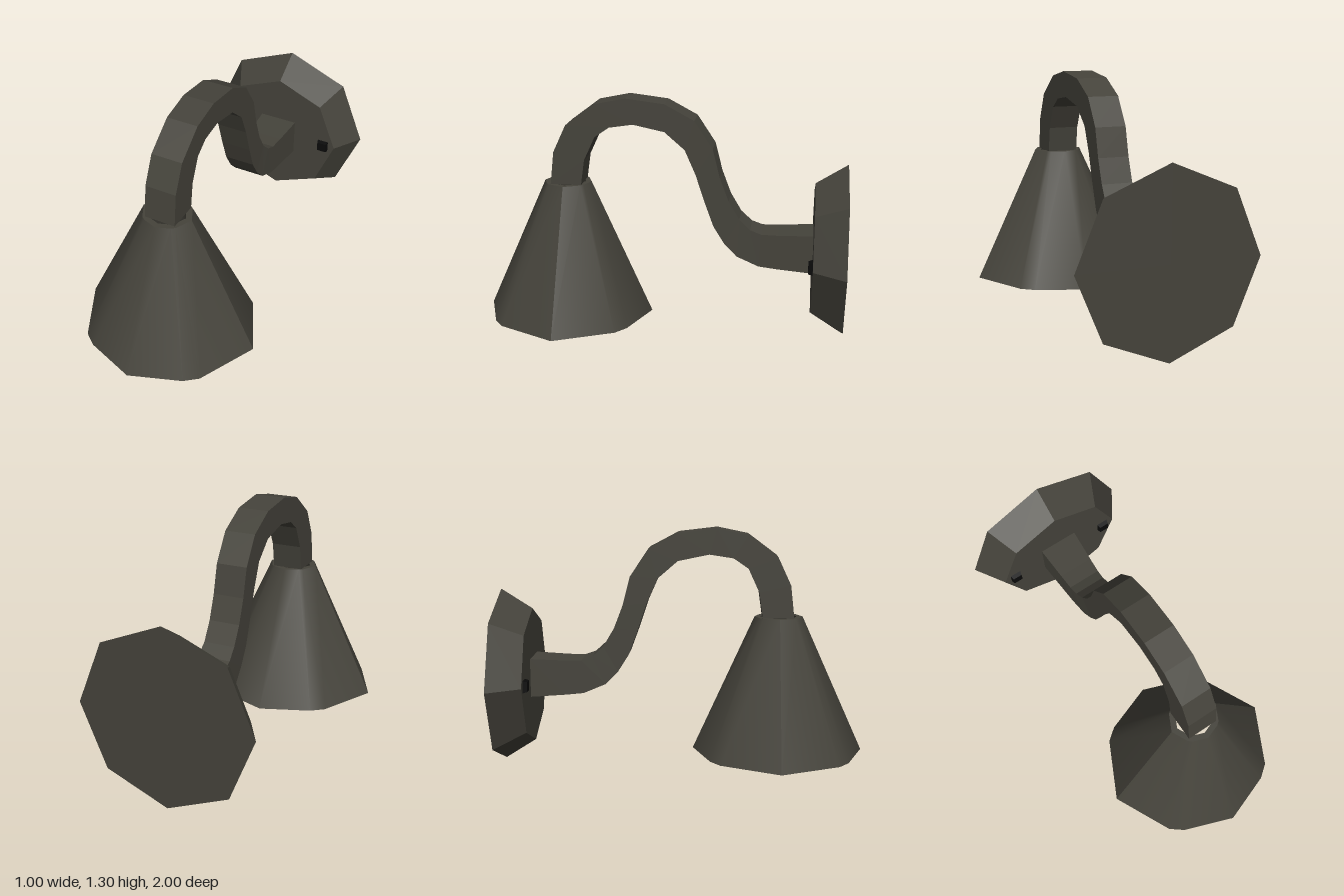
import * as THREE from 'three';
import { toCreasedNormals } from 'three/addons/utils/BufferGeometryUtils.js';

const iron = new THREE.MeshStandardMaterial({ color: 0x45433b, flatShading: true });
const ironSmooth = new THREE.MeshStandardMaterial({ color: 0x45433b, side: THREE.DoubleSide });
const black = new THREE.MeshStandardMaterial({ color: 0x0a0a0a, flatShading: true });

// Joins equal-length rings of [x, y, z] points with quads; optional end caps
function loft(rings, caps) {
  const n = rings[0].length, index = [];
  for (let r = 0; r < rings.length - 1; r++) {
    for (let i = 0; i < n; i++) {
      const a = r * n + i, b = r * n + (i + 1) % n;
      index.push(a, b, b + n, a, b + n, a + n);
    }
  }
  if (caps) {
    const e = (rings.length - 1) * n;
    for (let i = 1; i < n - 1; i++) index.push(0, i + 1, i, e, e + i, e + i + 1);
  }
  const g = new THREE.BufferGeometry();
  g.setAttribute('position', new THREE.Float32BufferAttribute(rings.flat(2), 3));
  g.setIndex(index);
  return g;
}

function add(parent, name, geometry, material) {
  const mesh = new THREE.Mesh(geometry, material);
  mesh.name = name;
  parent.add(mesh);
  return mesh;
}

export function createModel() {
  const lamp = new THREE.Group();
  lamp.name = 'wallLamp';

  // Wall plate: bevelled octagon standing on one corner
  const plate = new THREE.CylinderGeometry(0.375, 0.483, 0.17, 8);
  plate.rotateX(Math.PI / 2);
  add(lamp, 'wallPlate', plate, iron).position.set(0, 0.483, -0.915);

  // Two square screw heads on the plate
  for (const side of [-1, 1]) {
    const head = new THREE.CylinderGeometry(0.038, 0.05, 0.035, 4, 1, false, Math.PI / 4);
    head.rotateX(Math.PI / 2);
    add(lamp, side > 0 ? 'leftScrew' : 'rightScrew', head, black).position.set(side * 0.302, 0.484, -0.824);
  }

  // Gooseneck arm: outer and inner edge [z, y] pairs from shade to wall
  const outer = [[0.61, 0.82], [0.59, 1], [0.52, 1.15], [0.36, 1.27], [0.19, 1.305], [-0.02, 1.28],
    [-0.18, 1.195], [-0.28, 1.045], [-0.32, 0.89], [-0.37, 0.76], [-0.43, 0.66], [-0.49, 0.605],
    [-0.55, 0.583], [-0.64, 0.583], [-0.83, 0.592]];
  const inner = [[0.44, 0.82], [0.42, 0.96], [0.36, 1.09], [0.28, 1.145], [0.15, 1.165], [-0.02, 1.13],
    [-0.13, 1.035], [-0.19, 0.9], [-0.24, 0.75], [-0.29, 0.615], [-0.35, 0.52], [-0.42, 0.45],
    [-0.54, 0.4], [-0.64, 0.391], [-0.83, 0.38]];
  const armRings = outer.map(([zo, yo], i) => {
    const [zi, yi] = inner[i];
    const w = 0.086 + 0.025 * Math.max(0, (-zo - 0.42) / 0.41); // widens at the wall
    return [[-w, yo, zo], [w, yo, zo], [w, yi, zi], [-w, yi, zi]];
  });
  add(lamp, 'arm', loft(armRings, true), iron);

  // Conical shade: twelve-sided outline, hollow, with a thick lower rim
  const quarter = [[0, 0.47], [0.275, 0.37], [0.345, 0.315], [0.5, 0]];
  const outline = [
    ...quarter,
    ...quarter.slice(0, 3).reverse().map(([x, z]) => [x, -z]),
    ...quarter.slice(1).map(([x, z]) => [-x, -z]),
    ...quarter.slice(1, 3).reverse().map(([x, z]) => [-x, z]),
  ];
  const ring = (scale, y) => outline.map(([x, z]) => [x * scale, y, z * scale + 0.53]);
  const shade = loft([ring(0.77, 0.07), ring(1, 0.07), ring(0.28, 0.82), ring(0.21, 0.82), ring(0.77, 0.07)]);
  add(lamp, 'shade', toCreasedNormals(shade, 0.76), ironSmooth);

  return lamp;
}
